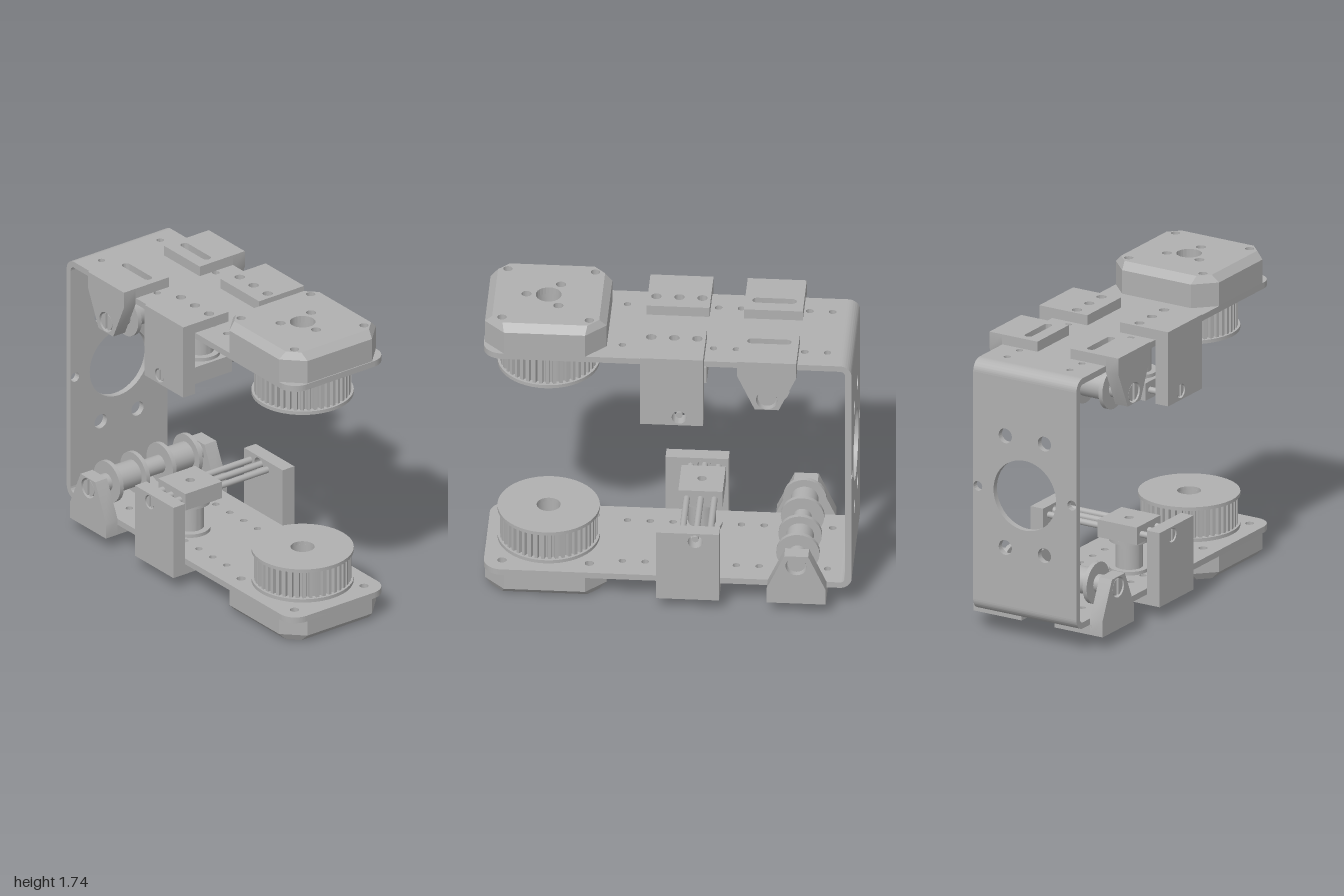
import * as THREE from 'three';
import { toCreasedNormals } from 'three/addons/utils/BufferGeometryUtils.js';

const steel = new THREE.MeshStandardMaterial({ color: 0xb0b0b0 });
steel.name = 'grey steel';

const add = (parent, name, geo, x = 0, y = 0, z = 0) => {
  const m = new THREE.Mesh(geo, steel);
  m.name = name;
  m.position.set(x, y, z);
  parent.add(m);
  return m;
};

const group = (parent, name) => {
  const g = new THREE.Group();
  g.name = name;
  parent.add(g);
  return g;
};

const poly = pts => new THREE.Shape(pts.map(p => new THREE.Vector2(p[0], p[1])));
const circle = (x, y, r) => new THREE.Shape().absarc(x, y, r, 0, Math.PI * 2, false);
const slot = (x, y, half, r) => new THREE.Shape()
  .absarc(x + half, y, r, -Math.PI / 2, Math.PI / 2, false)
  .absarc(x - half, y, r, Math.PI / 2, Math.PI * 1.5, false);

// Extruded plate along z, or standing up along y when flat is true
function plate(shape, depth, holes = [], flat = false, segs = 12) {
  shape.holes = holes;
  const g = new THREE.ExtrudeGeometry(shape, { depth, bevelEnabled: false, curveSegments: segs });
  if (flat) g.rotateX(-Math.PI / 2);
  return toCreasedNormals(g, 0.6);
}

// Round disc with an optional bore, standing along y
const disc = (r, h, bore = 0) => plate(circle(0, 0, r), h, bore ? [circle(0, 0, bore)] : [], true, 24);

const rodZ = (r, len) => new THREE.CylinderGeometry(r, r, len, 24).rotateX(Math.PI / 2);

const octagon = (a, b) => [[a, -b], [a, b], [b, a], [-b, a], [-a, b], [-a, -b], [-b, -a], [b, -a]];
const cornerHoles = (x = 0, r = 0.025) => [-1, 1].flatMap(i => [-1, 1].map(j => circle(x + i * 0.237, j * 0.237, r)));

const MX = 0.665; // motor axis
const T = 0.035;  // sheet thickness

// Motor housing hanging below y = 0, its outer edge chamfered
function motor(parent, height, recessed) {
  const g = group(parent, 'motor');
  g.position.x = MX;
  const c = 0.04;
  const bolt = [0, 1, 2].map(i => i * Math.PI * 2 / 3);
  const centre = recessed ? [circle(0, 0, 0.22)]
    : [circle(0, 0, 0.07), ...bolt.map(a => circle(0.12 * Math.cos(a), 0.12 * Math.sin(a), 0.027))];
  add(g, 'motorBody', plate(poly(octagon(0.33, 0.22)), height - c, [...cornerHoles(),
    ...(recessed ? [circle(0, 0, 0.07)] : centre)], true), 0, c - height);
  const cap = new THREE.ExtrudeGeometry(poly(octagon(0.33, 0.22)), { depth: c, bevelEnabled: false, curveSegments: 12 });
  const shape = poly(octagon(0.33, 0.22));
  shape.holes = [...cornerHoles(), ...centre];
  cap.copy(new THREE.ExtrudeGeometry(shape, { depth: c, bevelEnabled: false, curveSegments: 12 }));
  const p = cap.attributes.position;
  for (let i = 0; i < p.count; i++) {
    const x = p.getX(i), y = p.getY(i);
    if (p.getZ(i) > c / 2 || Math.max(Math.abs(x), Math.abs(y)) < 0.3) continue;
    const pull = v => Math.sign(v) * (Math.abs(v) > 0.3 ? 0.29 : 0.23);
    p.setXY(i, pull(x), pull(y));
  }
  cap.computeVertexNormals();
  cap.rotateX(-Math.PI / 2);
  add(g, 'motorCap', cap, 0, -height);
  if (recessed) {
    // sunken face carrying three spokes
    add(g, 'motorFace', disc(0.22, 0.02, 0.07), 0, c - 0.02 - height);
    add(g, 'motorHub', disc(0.085, 0.015, 0.06), 0, 0.005 - height);
    for (const a of bolt) {
      const arm = add(g, 'motorSpoke', plate(slot(0.115, 0, 0.04, 0.03), 0.015, [], true), 0, 0.005 - height);
      arm.rotation.y = a;
    }
  }
}

// Toothed belt pulley between two flanges
function pulley(parent) {
  const g = group(parent, 'beltPulley');
  g.position.x = MX;
  const n = 44, pts = [];
  for (let i = 0; i < n; i++) {
    [[0, 0.243], [0.3, 0.243], [0.42, 0.264], [0.88, 0.264]].forEach(([f, r]) => {
      const a = (i + f) / n * Math.PI * 2;
      pts.push([r * Math.cos(a), r * Math.sin(a)]);
    });
  }
  add(g, 'pulleyTeeth', plate(poly(pts), 0.16, [circle(0, 0, 0.065)], true), 0, 0.07);
  for (const y of [0.05, 0.23]) add(g, 'pulleyFlange', disc(0.277, 0.02, 0.065), 0, y);
  add(g, 'pulleyBoss', disc(0.22, 0.016, 0.065), 0, T);
}

// Slotted screw head facing +z
function screw(parent, x, y, z, r, front) {
  const g = group(parent, 'screw');
  g.position.set(x, y, z);
  if (front < 0) g.rotation.y = Math.PI;
  add(g, 'screwCore', rodZ(r, 0.05), 0, 0, -0.04);
  const a = 0.2;
  for (const s of [0, Math.PI]) {
    const half = new THREE.Shape().absarc(0, 0, r, s - Math.PI / 2 + a, s + Math.PI / 2 - a, false);
    add(g, 'screwHead', plate(half, 0.012), 0, 0, -0.015);
  }
}

// Flange and cheek on both edges of the arm
function clampPair(parent, name, cheek, hole, x0, x1, flangeHoles) {
  for (const s of [-1, 1]) {
    const g = group(parent, name);
    add(g, name + 'Cheek', plate(poly(cheek), 0.08, [circle(...hole)]), 0, 0, s > 0 ? 0.332 : -0.412);
    const a = s > 0 ? -0.34 : 0.105, b = a + 0.235;
    add(g, name + 'Flange', plate(poly([[x0, a], [x1, a], [x1, b], [x0, b]]), 0.058, flangeHoles(-s * 0.2), true), 0, -0.058);
  }
}

// One complete arm: y runs inward from the outer face of the sheet
function arm(root, o) {
  const g = group(root, o.name);
  g.position.y = o.y;
  if (o.flip) g.rotation.x = Math.PI;
  const front = o.flip ? -1 : 1;

  // sheet with rounded free corners and rows of holes
  const s = new THREE.Shape();
  s.moveTo(-0.935, -0.33).lineTo(0.9, -0.33).absarc(0.9, -0.23, 0.1, -Math.PI / 2, 0, false)
    .absarc(0.9, 0.23, 0.1, 0, Math.PI / 2, false).lineTo(-0.935, 0.33);
  const holes = [...cornerHoles(MX), circle(MX, 0, 0.068)];
  for (let i = 0; i < 10; i++) for (const z of [-0.2, 0.2]) holes.push(circle(-0.86 + i * 0.1235, z, 0.02));
  add(g, 'armSheet', plate(s, T, holes, true));
  motor(g, o.motor, o.recessed);
  pulley(g);

  // tapered roller clamps
  const c = o.roller, ay = 0.183;
  clampPair(g, 'rollerClamp', [[c - 0.16, -0.058], [c + 0.16, -0.058], [c + 0.16, 0.035],
    [c + 0.065, 0.245], [c - 0.065, 0.245], [c - 0.16, 0.035]], [c, ay, 0.058], c - 0.16, c + 0.16, z => [slot(c, z, 0.095, 0.024)]);
  const r = group(g, 'roller');
  r.position.set(c, ay, 0);
  add(r, 'rollerShaft', rodZ(0.05, 0.78));
  for (const side of [-1, 1]) {
    add(r, 'rollerSpool', rodZ(0.075, 0.18), 0, 0, side * 0.18);
    for (const z of [0.09, 0.27]) add(r, 'rollerFlange', rodZ(0.118, 0.025), 0, 0, side * z);
  }
  screw(g, c, ay, front * 0.41, 0.048, front);

  // rectangular tensioner clamps
  const x0 = o.block, x1 = x0 + 0.342, sx = x0 + 0.13, sy = 0.317;
  clampPair(g, 'tensionerClamp', [[x0, -0.058], [x1, -0.058], [x1, 0.367], [x0, 0.367]], [sx, sy, 0.04],
    x0, x1, z => [0.045, 0.17, 0.295].map(d => circle(x0 + d, z, 0.028)));
  const t = group(g, 'tensioner');
  t.position.set(sx, sy, 0);
  for (const d of [-0.075, 0, 0.075]) add(t, 'guideRod', rodZ(0.018, d ? 0.68 : 0.78), d);
  const zc = front * 0.135;
  add(t, 'slider', plate(poly([[-0.12, -0.125], [0.12, -0.125], [0.12, 0.125], [-0.12, 0.125]]), 0.1,
    [circle(0, 0, 0.025)], true), 0, -0.05, zc);
  add(t, 'idlerCore', disc(0.075, 0.2), 0, -0.25, zc);
  for (const y of [-0.245, -0.075]) add(t, 'idlerFlange', disc(0.11, 0.02), 0, y, zc);
  screw(g, sx, sy, front * 0.41, 0.033, front);
}

export function createModel() {
  const root = new THREE.Group();
  root.name = 'beltTensionerFrame';

  // upright back wall with its openings
  const wy = 0.8475;
  const wall = plate(poly([[-0.33, 0.195], [0.33, 0.195], [0.33, 1.5], [-0.33, 1.5]]), T, [
    circle(0, wy, 0.2), circle(0.3, wy, 0.028), circle(-0.3, wy, 0.028),
    ...[-1, 1].flatMap(i => [-1, 1].map(j => circle(i * 0.125, wy + j * 0.32, 0.042)))], false, 24);
  wall.rotateY(-Math.PI / 2);
  add(root, 'backWall', wall, -0.965);

  // rounded bends joining wall and arms
  for (const [y, a] of [[0.195, Math.PI], [1.5, Math.PI / 2]]) {
    const s = new THREE.Shape().absarc(0, 0, 0.065, a, a + Math.PI / 2, false)
      .absarc(0, 0, 0.03, a + Math.PI / 2, a, true);
    add(root, 'bend', plate(s, 0.66), -0.935, y, -0.33);
  }

  arm(root, { name: 'lowerArm', y: 0.13, flip: false, motor: 0.13, recessed: true, roller: -0.705, block: -0.287 });
  arm(root, { name: 'upperArm', y: 1.565, flip: true, motor: 0.175, recessed: false, roller: -0.545, block: -0.2 });
  return root;
}
